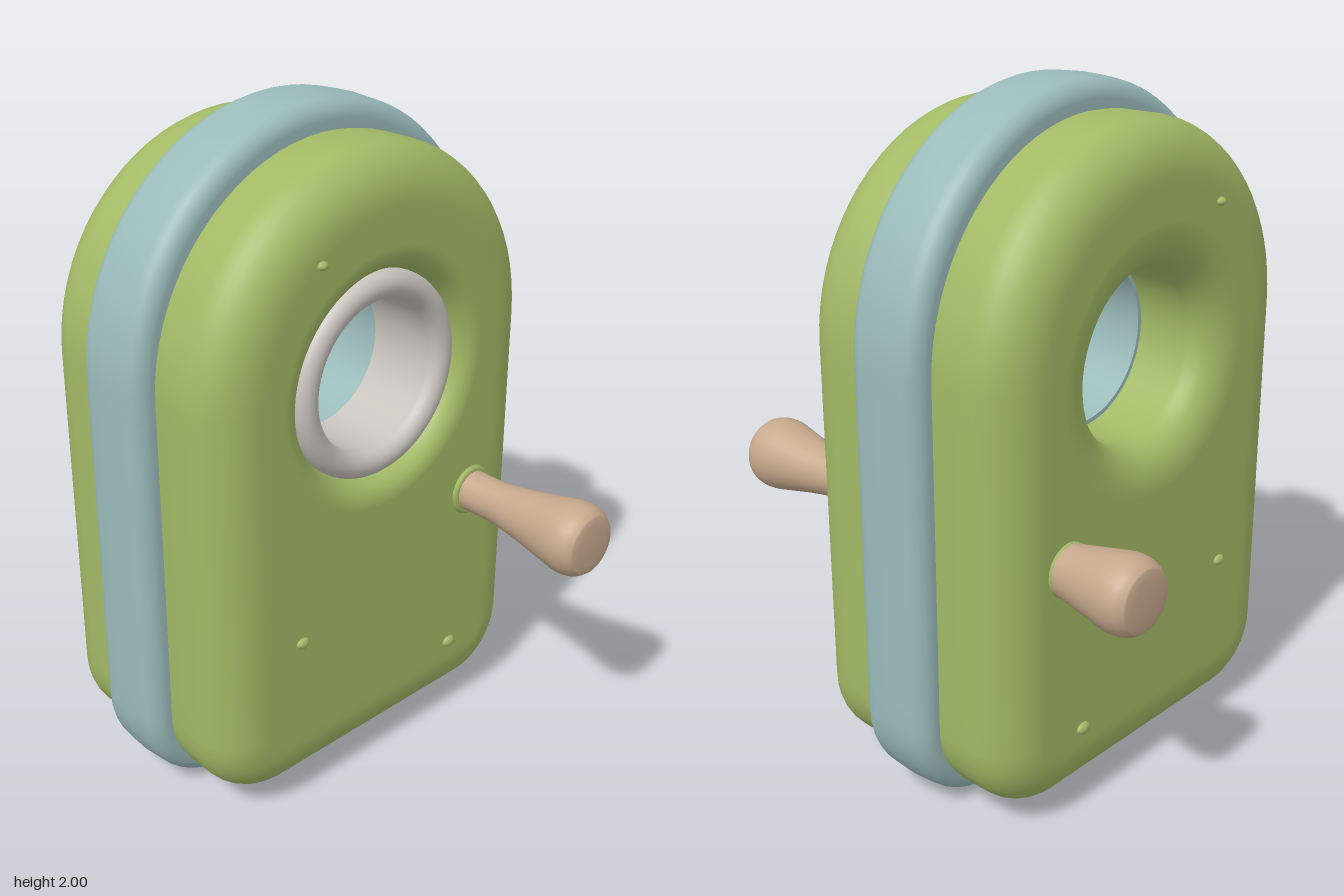
import * as THREE from 'three';

const MID_X = -0.1;   // centre plane of the body
const HOLE_Y = 1.267; // height of the round opening

const mat = (name, color) => {
  const m = new THREE.MeshStandardMaterial({ color });
  m.name = name;
  return m;
};

// Closed arch outline as [z, y] points: round top, flat base, rounded lower corners
function archOutline(w, bottom, archY, corner, inset) {
  const r = w - inset, c = corner - inset, cz = w - corner, cy = bottom + corner;
  const arcs = [
    [0, archY, r, 0, Math.PI, 36],
    [-cz, cy, c, Math.PI, Math.PI * 1.5, 10],
    [cz, cy, c, Math.PI * 1.5, Math.PI * 2, 10],
  ].map(([z, y, rad, a0, a1, n]) => Array.from({ length: n + 1 }, (_, i) => {
    const a = a0 + (a1 - a0) * i / n;
    return [z + rad * Math.cos(a), y + rad * Math.sin(a)];
  }));
  const pts = [];
  arcs.forEach((arc, k) => {
    pts.push(...arc);
    const a = arc[arc.length - 1], b = arcs[(k + 1) % 3][0];
    for (let i = 1; i < 12; i++) {
      const t = i / 12;
      pts.push([a[0] + (b[0] - a[0]) * t, a[1] + (b[1] - a[1]) * t]);
    }
  });
  return pts;
}

// Skin a list of loops; each row is { x, inset } (arch) or { x, hole } (circle)
function skin(arch, rows) {
  const base = archOutline(...arch, 0), n = base.length;
  const pos = [], idx = [];
  for (const { x, inset, hole } of rows) {
    const loop = hole === undefined ? archOutline(...arch, inset) : base.map(([z, y]) => {
      const a = Math.atan2(y - HOLE_Y, z);
      return [hole * Math.cos(a), HOLE_Y + hole * Math.sin(a)];
    });
    loop.forEach(([z, y]) => pos.push(x, y, z));
  }
  for (let r = 0; r < rows.length - 1; r++) {
    for (let v = 0; v < n; v++) {
      const w = (v + 1) % n;
      const a = r * n + v, b = a + n, c = r * n + w, d = c + n;
      idx.push(a, b, c, c, b, d);
    }
  }
  const g = new THREE.BufferGeometry();
  g.setAttribute('position', new THREE.Float32BufferAttribute(pos, 3));
  g.setIndex(idx);
  g.computeVertexNormals();
  return g;
}

// Quarter-round steps: t from 0 to 1 returned as [sin, 1 - cos]
const quarter = (n) => Array.from({ length: n + 1 }, (_, i) => {
  const a = (i / n) * Math.PI / 2;
  return [Math.sin(a), 1 - Math.cos(a)];
});

export function createModel() {
  const model = new THREE.Group();
  const green = mat('leaf green', 0xa2b965);
  const blue = mat('dusty blue', 0x9ababa);
  const wood = mat('light wood', 0xc6a88c);
  const grey = mat('warm grey', 0xc8c3bd);

  const add = (parent, name, geo, material) => {
    const m = new THREE.Mesh(geo, material);
    m.name = name;
    parent.add(m);
    return m;
  };

  // Middle band, with its opening
  const bandHalf = 0.124, e = 0.055;
  const rim = quarter(6);
  const band = [
    { x: -bandHalf, hole: 0.237 },
    { x: -bandHalf, inset: 0.1 },
    ...rim.map(([s, c]) => ({ x: -bandHalf + e * c, inset: e * (1 - s) })),
    { x: 0, inset: -0.004 },
    ...rim.slice().reverse().map(([s, c]) => ({ x: bandHalf - e * c, inset: e * (1 - s) })),
    { x: bandHalf, inset: 0.1 },
    { x: bandHalf, hole: 0.237 },
    { x: bandHalf, hole: 0.237 },
    { x: -bandHalf, hole: 0.237 },
  ];
  add(model, 'middleBand', skin([0.668, 0.004, 1.328, 0.29], band), blue).position.x = MID_X;

  // Side shells: rounded outer edge, flat face, flared opening
  const face = 0.383;
  const shell = (holeR) => skin([0.61, 0.052, 1.31, 0.23], [
    { x: 0.1, inset: 0.012 },
    { x: 0.15, inset: 0.002 },
    ...quarter(9).map(([s, c]) => ({ x: face - 0.135 * (1 - s), inset: 0.15 * c })),
    { x: face, inset: 0.17 },
    { x: face, hole: 0.385 },
    ...quarter(7).map(([s, c]) => ({ x: face - 0.1 * c, hole: 0.375 - (0.375 - holeR) * s })),
    { x: 0.12, hole: holeR },
  ]);

  // Handle profile: radius, distance from the face
  const handlePts = new THREE.SplineCurve([
    [0.066, -0.03], [0.063, 0.03], [0.064, 0.12], [0.078, 0.22], [0.098, 0.32],
    [0.111, 0.39], [0.106, 0.435], [0.088, 0.462],
  ].map((p) => new THREE.Vector2(...p))).getPoints(28);
  handlePts.push(new THREE.Vector2(0.06, 0.467), new THREE.Vector2(0, 0.468));
  const handleGeo = new THREE.LatheGeometry(handlePts, 28).rotateZ(-Math.PI / 2);
  const collarGeo = new THREE.TorusGeometry(0.066, 0.013, 8, 24).rotateY(Math.PI / 2);
  const nubGeo = new THREE.SphereGeometry(1, 10, 8);

  for (const side of [1, -1]) {
    // Each half is turned about y, so z positions are multiplied by side
    const half = new THREE.Group();
    half.name = side > 0 ? 'leftHalf' : 'rightHalf';
    half.position.x = MID_X;
    if (side < 0) half.rotation.y = Math.PI;
    model.add(half);

    add(half, 'sideShell', shell(side > 0 ? 0.3 : 0.25), green);
    const handle = add(half, 'handle', handleGeo, wood);
    // Both handles end 0.75 from the centre of the model
    handle.position.set(0.75 - 0.468 - side * MID_X, 0.79, -0.37 * side);
    add(half, 'handleCollar', collarGeo, green).position.set(face, 0.79, -0.37 * side);

    // Small raised nubs on the face
    for (const [z, y, r] of [[0.25, 1.667, 0.018], [0.325, 0.555, 0.024], [-0.3, 0.268, 0.026]]) {
      const nub = add(half, 'nub', nubGeo, green);
      nub.position.set(face, y, z * side);
      nub.scale.set(0.016, r * 0.7, r);
    }
  }

  // Lining ring in one opening, with a rounded lip
  const ringPts = [new THREE.Vector2(0.222, 0.012), new THREE.Vector2(0.3, 0.012), new THREE.Vector2(0.305, 0.06)];
  for (let i = 0; i <= 12; i++) {
    const a = (i / 12) * Math.PI;
    ringPts.push(new THREE.Vector2(0.2645 + 0.0405 * Math.cos(a), 0.225 + 0.0405 * Math.sin(a)));
  }
  ringPts.push(new THREE.Vector2(0.224, 0.012));
  const ring = add(model, 'liningRing', new THREE.LatheGeometry(ringPts, 56).rotateZ(-Math.PI / 2), grey);
  ring.position.y = HOLE_Y;

  return model;
}
